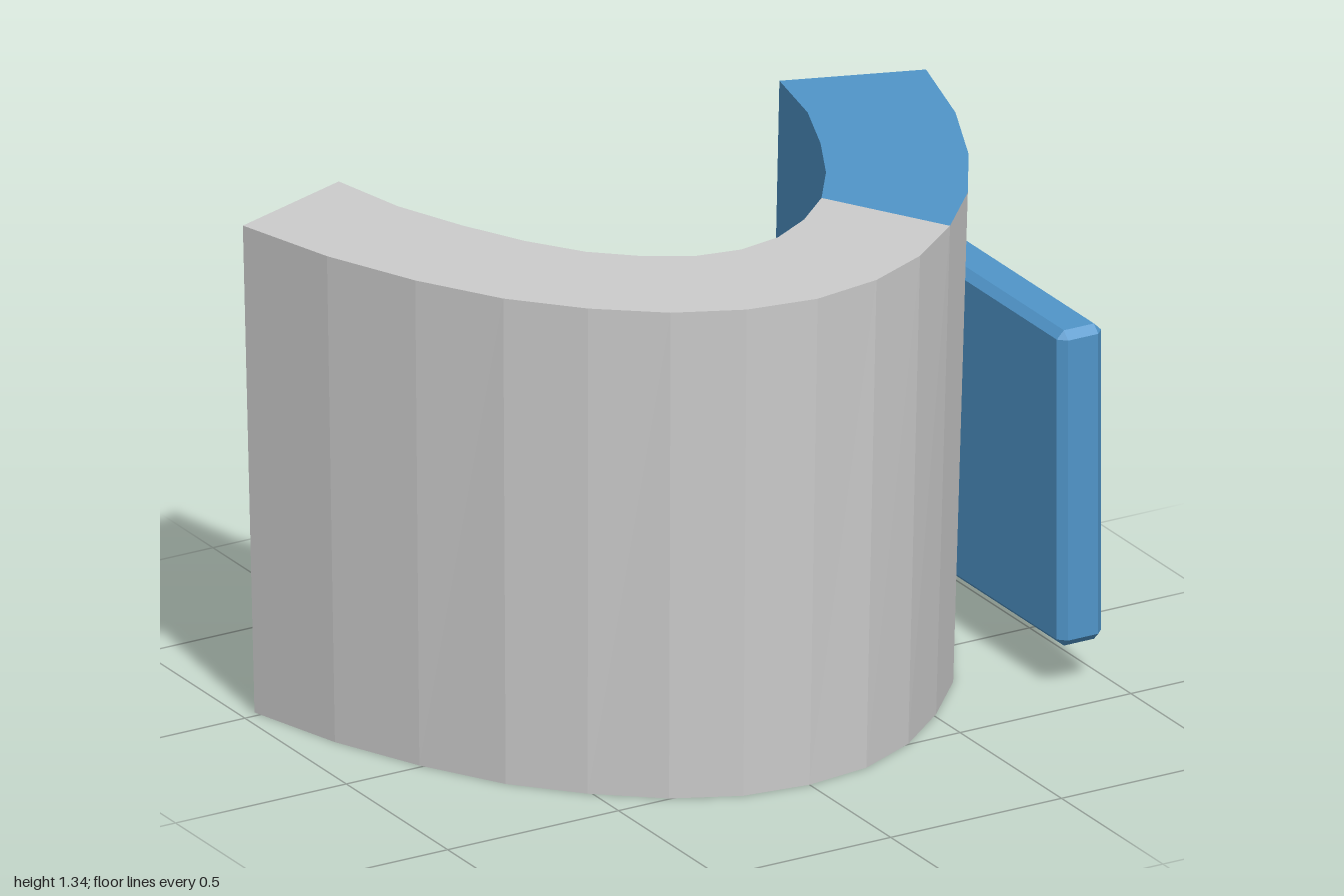
import * as THREE from 'three';
import { ConvexGeometry } from 'three/addons/geometries/ConvexGeometry.js';

const H = 1.34;
const LAST = 7;

// Half profiles [x, z] from the front centre to the back tip
const OUTER_TOP = [[0, 0.64], [0.19, 0.61], [0.365, 0.53], [0.53, 0.4], [0.68, 0.235], [0.81, 0.02], [0.92, -0.23], [1, -0.51]];
const OUTER_BOTTOM = [[0, 0.6], [0.18, 0.577], [0.35, 0.497], [0.51, 0.365], [0.655, 0.205], [0.78, -0.01], [0.885, -0.25], [0.96, -0.52]];
const INNER_TOP = [[0, 0.265], [0.12, 0.243], [0.235, 0.177], [0.345, 0.078], [0.44, -0.06], [0.525, -0.23], [0.6, -0.42], [0.645, -0.635]];
const INNER_BOTTOM = [[0, 0.235], [0.115, 0.215], [0.23, 0.15], [0.33, 0.045], [0.42, -0.08], [0.505, -0.25], [0.58, -0.43], [0.62, -0.645]];

// Point i of a profile, mirrored for negative i
function at(profile, i, y) {
  const [x, z] = profile[Math.abs(i)];
  return [i < 0 ? -x : x, y, z];
}

function quadMesh(name, quads, material) {
  const positions = quads.flatMap(([a, b, c, d]) => [a, b, c, a, c, d].flat());
  const geometry = new THREE.BufferGeometry();
  geometry.setAttribute('position', new THREE.Float32BufferAttribute(positions, 3));
  geometry.computeVertexNormals();
  const mesh = new THREE.Mesh(geometry, material);
  mesh.name = name;
  return mesh;
}

// Box with every edge cut at 45 degrees
function chamferedBox(w, h, d, c) {
  const points = [];
  for (const sx of [-1, 1]) for (const sy of [-1, 1]) for (const sz of [-1, 1]) {
    for (let axis = 0; axis < 3; axis++) {
      const p = [w / 2, h / 2, d / 2].map((half, k) => (k === axis ? half : half - c));
      points.push(new THREE.Vector3(sx * p[0], sy * p[1], sz * p[2]));
    }
  }
  return new ConvexGeometry(points);
}

export function createModel() {
  const model = new THREE.Group();
  model.name = 'curvedCuff';
  const grey = new THREE.MeshStandardMaterial({ color: 0xcccccc, flatShading: true });
  const blue = new THREE.MeshStandardMaterial({ color: 0x5095c9, flatShading: true });

  const greyQuads = [], blueQuads = [];
  for (let i = -LAST; i < LAST; i++) {
    const j = i + 1;
    const oB = at(OUTER_BOTTOM, i, 0), oB2 = at(OUTER_BOTTOM, j, 0);
    const oT = at(OUTER_TOP, i, H), oT2 = at(OUTER_TOP, j, H);
    const iB = at(INNER_BOTTOM, i, 0), iB2 = at(INNER_BOTTOM, j, 0);
    const iT = at(INNER_TOP, i, H), iT2 = at(INNER_TOP, j, H);
    // Outer and inner walls, coloured one step later than the rims
    (i >= 4 ? blueQuads : greyQuads).push([oB, oB2, oT2, oT], [iB2, iB, iT, iT2]);
    // Top and bottom rims
    (i >= 3 ? blueQuads : greyQuads).push([oT, oT2, iT2, iT], [iB, iB2, oB2, oB]);
  }

  // Flat ends at the back
  for (const i of [-LAST, LAST]) {
    const end = [at(OUTER_BOTTOM, i, 0), at(INNER_BOTTOM, i, 0), at(INNER_TOP, i, H), at(OUTER_TOP, i, H)];
    blueQuads.push(i > 0 ? end : end.reverse());
  }
  model.add(quadMesh('cuffBody', greyQuads, grey));
  model.add(quadMesh('cuffColouredSection', blueQuads, blue));

  // Upright plate set into the left side
  const plate = new THREE.Mesh(chamferedBox(0.13, 0.86, 0.85, 0.021), blue);
  plate.name = 'sidePlate';
  plate.position.set(0.905, 0.556, 0);
  model.add(plate);

  return model;
}
